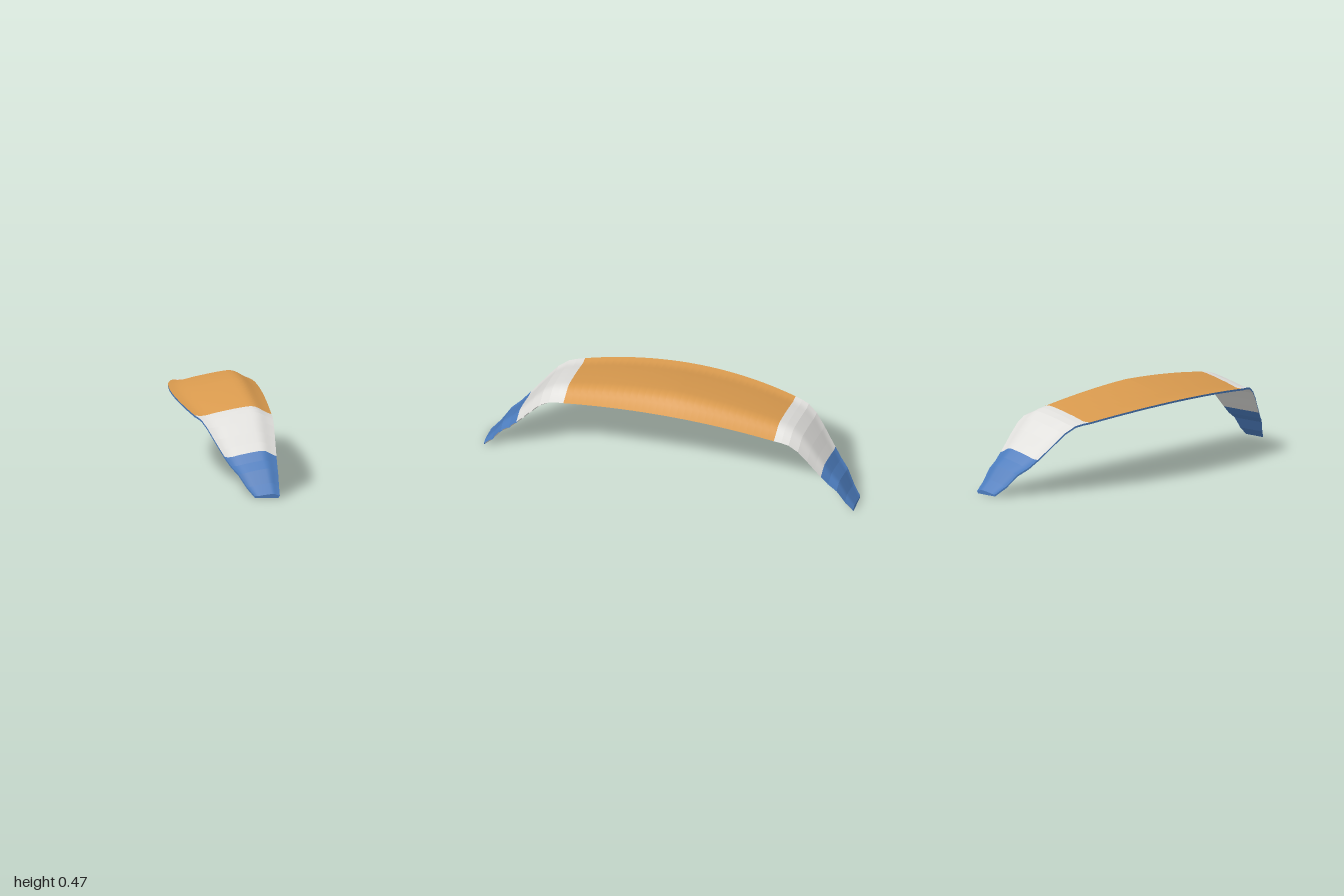
import * as THREE from 'three';
import { mergeGeometries } from 'three/addons/utils/BufferGeometryUtils.js';

const LEAD_X = 0.235;
// Upper skin profile: chord fraction (trailing to leading), relative height
const PROFILE = [[0, 0], [0.06, -0.05], [0.12, -0.04], [0.2, 0.13], [0.29, 0.33], [0.4, 0.53], [0.5, 0.71],
  [0.6, 0.86], [0.68, 0.97], [0.73, 1], [0.78, 0.95], [0.83, 0.77], [0.88, 0.5], [0.94, 0.22], [1, 0]];
const LIP = 0.94; // where the lower skin starts behind the intake

// Outer span stations: z, edge height, trailing edge x, section height
const OUTER = [[0.61, 0.364, -0.152, 0.042], [0.65, 0.356, -0.138, 0.038], [0.7, 0.325, -0.115, 0.036],
  [0.75, 0.273, -0.085, 0.034], [0.79, 0.227, -0.058, 0.032], [0.825, 0.189, -0.035, 0.03],
  [0.865, 0.148, -0.006, 0.027], [0.91, 0.115, 0.027, 0.024], [0.955, 0.053, 0.067, 0.018], [1, 0.01, 0.105, 0.01]];

function stations() {
  const half = [];
  for (let i = 0; i <= 15; i++) {
    const z = 0.57 * i / 15;
    half.push([z, 0.405 - 0.115 * z * z, -0.235 + 0.215 * z * z, 0.06 - 0.027 * z]);
  }
  half.push(...OUTER);
  const mirrored = half.slice(1).reverse().map(([z, ...rest]) => [-z, ...rest]);
  return [...mirrored, ...half];
}

// Point on the upper or lower skin of a station
const chordX = (s, u) => s[2] + (LEAD_X - s[2]) * u;
const upper = (s, [u, h]) => [chordX(s, u), s[1] + h * s[3], s[0]];
const lower = (s, u) => [chordX(s, u), s[1] - 0.01 - 0.01 * u * s[3] / 0.06, s[0]];

const topRow = s => PROFILE.map(p => upper(s, p));
const bottomRow = s => PROFILE.map(([u]) => lower(s, u * LIP)).reverse();
const trailRow = s => [lower(s, 0), upper(s, [0, 0])];
const intakeRow = s => [upper(s, [1, 0]), lower(s, LIP)];

// Strip of faces joining two rows of points
function strip(a, b) {
  const n = a.length, index = [];
  for (let i = 0; i < n - 1; i++) index.push(i, n + i, i + 1, i + 1, n + i, n + i + 1);
  const g = new THREE.BufferGeometry();
  g.setAttribute('position', new THREE.Float32BufferAttribute([...a, ...b].flat(), 3));
  g.setIndex(index);
  g.computeVertexNormals();
  return g;
}

const mix = (a, b, t) => a.map((v, i) => v + (b[i] - v) * t);

export function createModel() {
  const group = new THREE.Group();
  const material = (name, color) => {
    const m = new THREE.MeshStandardMaterial({ color, side: THREE.DoubleSide });
    m.name = name;
    return m;
  };
  const orange = material('orange cloth', 0xd99a4e);
  const white = material('white cloth', 0xdfdedb);
  const blue = material('blue cloth', 0x4c7cbd);

  const parts = {};
  const add = (name, mat, geometry) => {
    (parts[name] ??= { mat, list: [] }).list.push(geometry);
  };

  // Cells along the span, each a panel between two ribs
  const all = stations();
  for (let i = 0; i < all.length - 1; i++) {
    const a = all[i], b = all[i + 1];
    const z = (a[0] + b[0]) / 2, d = Math.abs(z), side = z > 0 ? 'front' : 'back';
    if (d < 0.57) add('centreCanopy', orange, strip(topRow(a), topRow(b)));
    else if (d < 0.825) add(side + 'ShoulderCanopy', white, strip(topRow(a), topRow(b)));
    else add(side + 'TipCanopy', blue, strip(topRow(a), topRow(b)));

    if (d < 0.825) add('lowerSkin', white, strip(bottomRow(a), bottomRow(b)));
    else add(side + 'TipLowerSkin', blue, strip(bottomRow(a), bottomRow(b)));

    add('trailingEdge', blue, strip(trailRow(a), trailRow(b)));

    // Intake panel leaving a slot at each rib
    const c = mix(a, b, 0.18), e = mix(a, b, 0.82);
    add('intakePanels', white, strip(intakeRow(c), intakeRow(e)));
  }

  // Closed wing tips
  const first = all[0], last = all[all.length - 1];
  add('backTipCap', blue, strip(topRow(first), bottomRow(first).reverse()));
  add('frontTipCap', blue, strip(bottomRow(last).reverse(), topRow(last)));

  for (const [name, { mat, list }] of Object.entries(parts)) {
    const mesh = new THREE.Mesh(mergeGeometries(list), mat);
    mesh.name = name;
    group.add(mesh);
  }
  return group;
}
